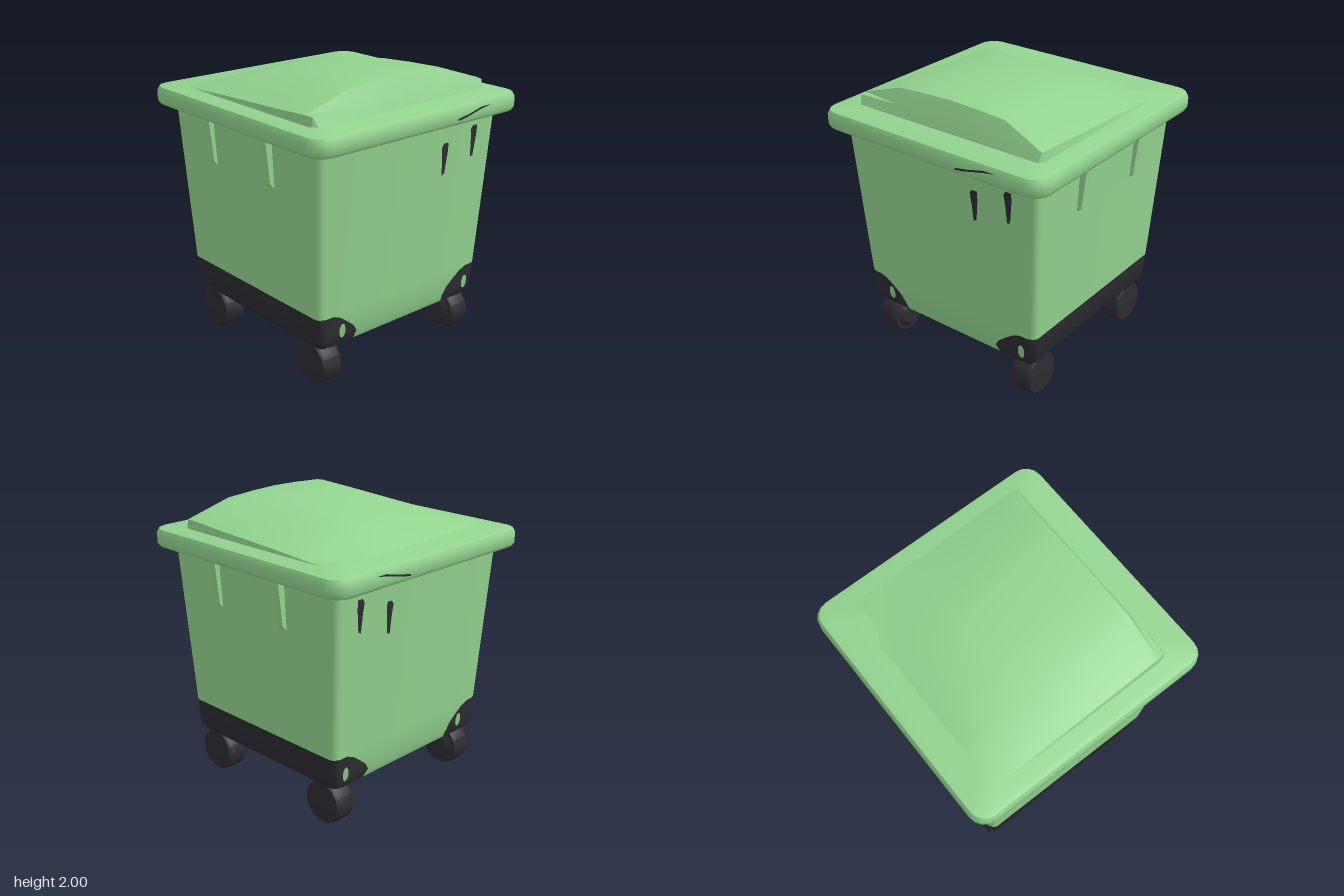
import * as THREE from 'three';
import { toCreasedNormals } from 'three/addons/utils/BufferGeometryUtils.js';

const green = new THREE.MeshStandardMaterial({ color: 0x93d48f, side: THREE.DoubleSide });
green.name = 'bin green';
const dark = new THREE.MeshStandardMaterial({ color: 0x2c2c32, side: THREE.DoubleSide });
dark.name = 'dark rubber';

function addMesh(parent, name, geometry, material) {
  const mesh = new THREE.Mesh(geometry, material);
  mesh.name = name;
  parent.add(mesh);
  return mesh;
}

// Indexed mesh with creased normals; second index list uses the second material
function build(points, first, second = [], crease = 0.7) {
  const g = new THREE.BufferGeometry();
  g.setAttribute('position', new THREE.Float32BufferAttribute(points, 3));
  g.setIndex([...first, ...second]);
  if (second.length) {
    g.addGroup(0, first.length, 0);
    g.addGroup(first.length, second.length, 1);
  }
  return toCreasedNormals(g, crease);
}

// Stack of rounded rectangles [y, halfX, halfZ, radius], from the bottom up
const SEG = 4;
function loft(rings, isDark = () => false) {
  const pts = [], first = [], second = [], n = 4 * (SEG + 1);
  const corners = [[1, 1], [-1, 1], [-1, -1], [1, -1]];
  for (const [y, hx, hz, r] of rings) {
    corners.forEach(([sx, sz], k) => {
      for (let s = 0; s <= SEG; s++) {
        const a = (k + s / SEG) * Math.PI / 2;
        pts.push(sx * (hx - r) + r * Math.cos(a), y, sz * (hz - r) + r * Math.sin(a));
      }
    });
  }
  for (let j = 0; j < rings.length - 1; j++) {
    for (let i = 0; i < n; i++) {
      const a = j * n + i, b = j * n + (i + 1) % n;
      (isDark(i, j) ? second : first).push(a, a + n, b, b, a + n, b + n);
    }
  }
  const last = (rings.length - 1) * n, low = pts.length / 3;
  pts.push(0, rings[0][0], 0, 0, rings[rings.length - 1][0], 0);
  for (let i = 0; i < n; i++) {
    const k = (i + 1) % n;
    first.push(low, i, k, low + 1, last + k, last + i);
  }
  return build(pts, first, second);
}

const bodyRings = [
  [0.28, 0.655, 0.64, 0.05], [0.295, 0.69, 0.672, 0.05], [0.35, 0.725, 0.697, 0.05],
  [0.53, 0.735, 0.71, 0.05], [1.69, 0.792, 0.782, 0.05],
];

// Front surface of the body at (x, y)
function frontZ(x, y) {
  let j = 0;
  while (j < bodyRings.length - 2 && y > bodyRings[j + 1][0]) j++;
  const a = bodyRings[j], b = bodyRings[j + 1];
  const t = (y - a[0]) / (b[0] - a[0]);
  const hx = a[1] + (b[1] - a[1]) * t, hz = a[2] + (b[2] - a[2]) * t, r = 0.05;
  const d = Math.min(r, Math.max(0, Math.abs(x) - (hx - r)));
  return hz - r + Math.sqrt(r * r - d * d);
}

// Dark corner guard with an oval opening, laid over the front of the body
function cornerGuard(holeX) {
  const outline = [[0.69, 0.41], [0.695, 0.47], [0.69, 0.53], [0.62, 0.53], [0.56, 0.505], [0.5, 0.46],
    [0.44, 0.41], [0.41, 0.36], [0.4, 0.284], [0.48, 0.284], [0.56, 0.284], [0.63, 0.284], [0.66, 0.295], [0.685, 0.35]];
  const pts = [], idx = [], n = outline.length, steps = 6;
  for (let s = 0; s <= steps; s++) {
    for (const [ox, oy] of outline) {
      const a = Math.atan2(oy - 0.4, ox - holeX), t = s / steps;
      const x = THREE.MathUtils.lerp(holeX + 0.027 * Math.cos(a), ox, t);
      const y = THREE.MathUtils.lerp(0.4 + 0.052 * Math.sin(a), oy, t);
      pts.push(x, y, frontZ(x, y) + 0.005);
    }
  }
  for (let s = 0; s < steps; s++) {
    for (let i = 0; i < n; i++) {
      const a = s * n + i, b = s * n + (i + 1) % n;
      idx.push(a, a + n, b, b, a + n, b + n);
    }
  }
  return build(pts, idx);
}

// Flat painted mark from outline points, with depth given by zAt
function mark(outline, zAt) {
  const g = new THREE.ShapeGeometry(new THREE.Shape(outline.map(p => new THREE.Vector2(...p))));
  const p = g.attributes.position;
  for (let i = 0; i < p.count; i++) p.setZ(i, zAt(p.getX(i), p.getY(i)));
  g.computeVertexNormals();
  return g;
}

// Domed lid: rows of [z, halfWidth, edgeY, shoulderY, crownY], front to back
function lidGeometry() {
  const rows = [
    [0.7, 0.72, 1.8, 1.8, 1.8], [0.67, 0.745, 1.865, 1.875, 1.88], [0.62, 0.752, 1.868, 1.972, 1.992],
    [0.56, 0.752, 1.866, 1.976, 2.0], [0.3, 0.752, 1.85, 1.965, 1.988], [0.05, 0.752, 1.84, 1.948, 1.972],
    [-0.22, 0.752, 1.828, 1.915, 1.94], [-0.48, 0.755, 1.815, 1.875, 1.9], [-0.7, 0.74, 1.8, 1.8, 1.8],
  ];
  const pts = [], idx = [], n = 9;
  for (const [z, w, e, m, c] of rows) {
    const half = [[w + 0.01, 1.795], [w, e], [0.43, m], [0.2, c - (c - m) * 0.3]];
    for (const [x, y] of half) pts.push(-x, y, z);
    pts.push(0, c, z);
    for (const [x, y] of half.reverse()) pts.push(x, y, z);
  }
  for (let r = 0; r < rows.length - 1; r++) {
    for (let c = 0; c < n - 1; c++) {
      const a = r * n + c;
      idx.push(a, a + 1, a + n, a + 1, a + n + 1, a + n);
    }
  }
  return build(pts, idx);
}

// Profile in x-y, extruded along z and centred
function sideProfile(points, depth) {
  const shape = new THREE.Shape(points.map(p => new THREE.Vector2(...p)));
  return new THREE.ExtrudeGeometry(shape, { depth, bevelEnabled: false }).translate(0, 0, -depth / 2);
}

export function createModel() {
  const model = new THREE.Group();
  model.name = 'wheeledBin';

  // Tapered body: lower side walls and corners are dark
  const onSide = i => {
    const k = i % (SEG + 1), edge = Math.floor(i / (SEG + 1));
    return k < SEG || edge % 2 === 1;
  };
  addMesh(model, 'body', loft(bodyRings, (i, j) => j < 3 && onSide(i)), [green, dark]);

  // Overhanging rim and lid
  addMesh(model, 'rim', loft([
    [1.665, 0.86, 0.865, 0.1], [1.675, 0.885, 0.89, 0.11], [1.7, 0.9, 0.905, 0.12],
    [1.765, 0.9, 0.905, 0.12], [1.795, 0.885, 0.89, 0.11], [1.805, 0.85, 0.855, 0.1],
  ]), green);
  addMesh(model, 'lid', lidGeometry(), green);

  // Underside seam
  addMesh(model, 'undersideStripe', new THREE.BoxGeometry(0.035, 0.006, 1.1), dark).position.set(0.09, 0.279, 0.02);

  // Corner guards and marks, the same on front and back
  for (const s of [1, -1]) {
    const face = new THREE.Group();
    face.name = s > 0 ? 'frontDetails' : 'backDetails';
    face.scale.z = s;
    model.add(face);
    addMesh(face, 'leftCornerGuard', cornerGuard(0.625), dark);
    addMesh(face, 'rightCornerGuard', cornerGuard(0.535), dark).scale.x = -1;
    for (const [x, top] of [[0.3, 1.52], [0.57, 1.595]]) {
      addMesh(face, 'drip', mark([
        [x - 0.012, top - 0.225], [x + 0.012, top - 0.215], [x + 0.03, top - 0.06], [x + 0.03, top],
        [x - 0.012, top], [x - 0.03, top - 0.025], [x - 0.02, top - 0.1],
      ], (px, py) => frontZ(px, py) + 0.004), dark);
    }
    addMesh(face, 'rimScratch', mark([
      [0.27, 1.705], [0.34, 1.715], [0.49, 1.75], [0.58, 1.765], [0.49, 1.764], [0.37, 1.735], [0.27, 1.718],
    ], () => 0.908), dark);
  }

  // Side brackets, underside bands and wheels, mirrored left and right
  for (const s of [1, -1]) {
    const side = new THREE.Group();
    side.name = s > 0 ? 'leftSide' : 'rightSide';
    side.scale.x = s;
    model.add(side);
    addMesh(side, 'undersideBand', new THREE.BoxGeometry(0.255, 0.006, 1.28), dark).position.set(0.5275, 0.279, 0);
    addMesh(side, 'gripPanel', sideProfile([[0.74, 1.34], [0.781, 1.34], [0.802, 1.67], [0.74, 1.67]], 0.6), green);
    for (const z of [0.305, -0.31]) {
      addMesh(side, 'gripRib', sideProfile(
        [[0.74, 1.34], [0.785, 1.34], [0.807, 1.365], [0.84, 1.67], [0.74, 1.67]], 0.04), green).position.z = z;
    }
    for (const z of [0.545, -0.545]) {
      // Turned wheel with a bulging inner hub
      const profile = [[0, 0.502], [0.085, 0.502], [0.12, 0.53], [0.145, 0.53], [0.155, 0.55], [0.155, 0.665], [0.145, 0.685], [0, 0.69]];
      const wheel = new THREE.LatheGeometry(profile.map(p => new THREE.Vector2(...p)), 14);
      wheel.rotateZ(-Math.PI / 2);
      addMesh(side, 'wheel', toCreasedNormals(wheel, 0.6), dark).position.set(0, 0.155, z);
    }
  }
  return model;
}
